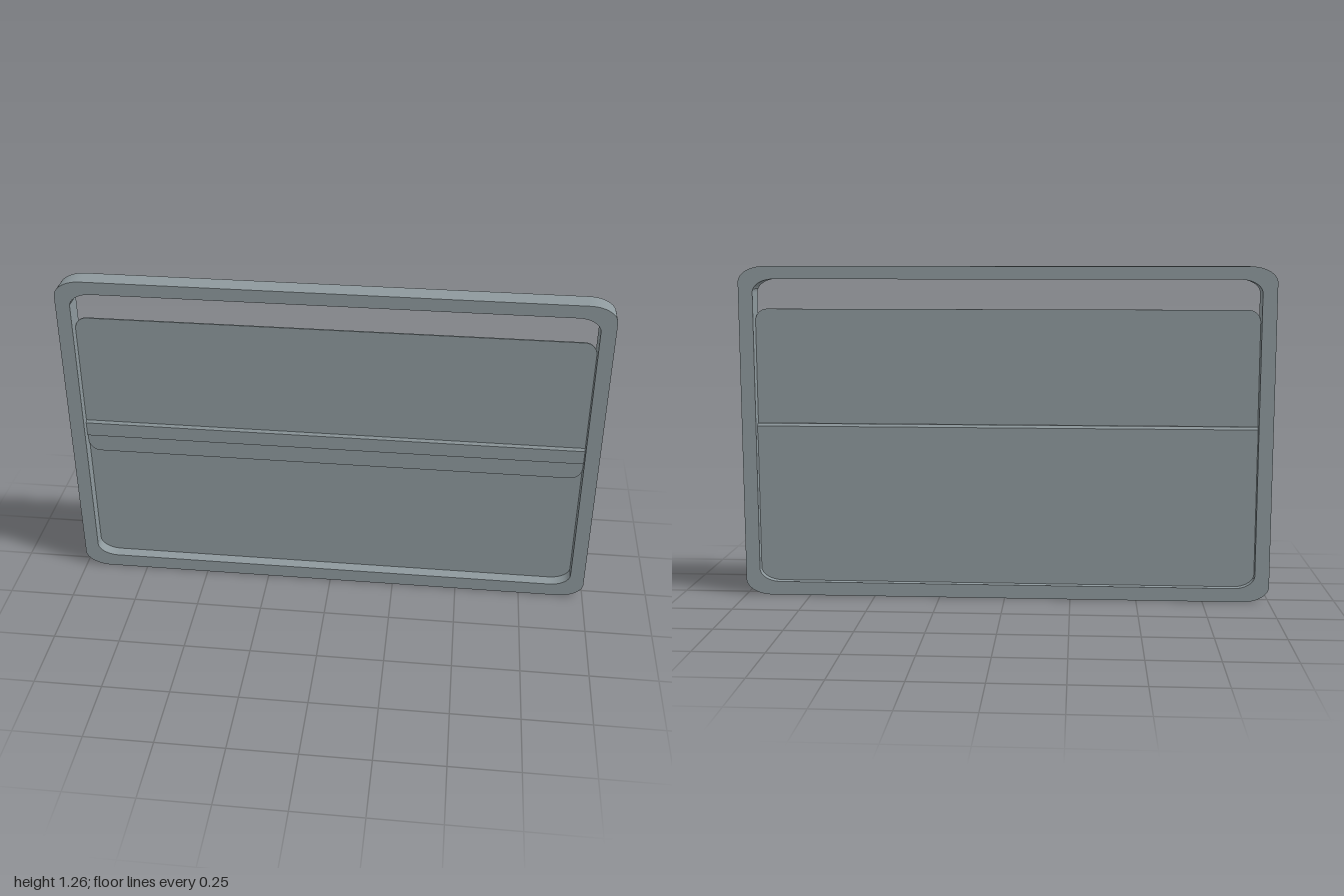
import * as THREE from 'three';

// Rectangle with elliptical corners, traced on a Shape or Path
function roundedRect(path, x, y0, y1, rx, ry) {
  path.moveTo(-x + rx, y0);
  path.lineTo(x - rx, y0);
  path.absellipse(x - rx, y0 + ry, rx, ry, -Math.PI / 2, 0);
  path.lineTo(x, y1 - ry);
  path.absellipse(x - rx, y1 - ry, rx, ry, 0, Math.PI / 2);
  path.lineTo(-x + rx, y1);
  path.absellipse(-x + rx, y1 - ry, rx, ry, Math.PI / 2, Math.PI);
  path.lineTo(-x, y0 + ry);
  path.absellipse(-x + rx, y0 + ry, rx, ry, Math.PI, Math.PI * 1.5);
  return path;
}

export function createModel() {
  const group = new THREE.Group();
  const greyMetal = new THREE.MeshStandardMaterial({ color: 0x8e999d });
  greyMetal.name = 'greyMetal';

  function add(name, shape, z0, z1) {
    const geometry = new THREE.ExtrudeGeometry(shape, {
      depth: z1 - z0, bevelEnabled: false, curveSegments: 12,
    });
    geometry.translate(0, 0, z0);
    const mesh = new THREE.Mesh(geometry, greyMetal);
    mesh.name = name;
    group.add(mesh);
    return mesh;
  }

  // Outer frame with its opening
  const frame = roundedRect(new THREE.Shape(), 1, 0, 1.26, 0.1, 0.06);
  frame.holes.push(roundedRect(new THREE.Path(), 0.946, 0.052, 1.212, 0.08, 0.05));
  add('frame', frame, -0.04, 0.04);

  // Two thin sashes: the upper one slides in front of the lower one
  add('upperSash', roundedRect(new THREE.Shape(), 0.946, 0.53, 1.1, 0.045, 0.045), -0.002, 0.004);
  add('lowerSash', roundedRect(new THREE.Shape(), 0.946, 0.052, 0.65, 0.08, 0.05), -0.012, -0.006);

  // Meeting rail, profile in (z, y) with a sloped top, run along x
  const profile = new THREE.Shape([
    [-0.017, 0.6], [0.011, 0.6], [0.011, 0.655], [0.004, 0.665], [-0.01, 0.665], [-0.017, 0.655],
  ].map(([z, y]) => new THREE.Vector2(-z, y)));
  const rail = add('meetingRail', profile, -0.946, 0.946);
  rail.geometry.rotateY(Math.PI / 2);

  return group;
}
